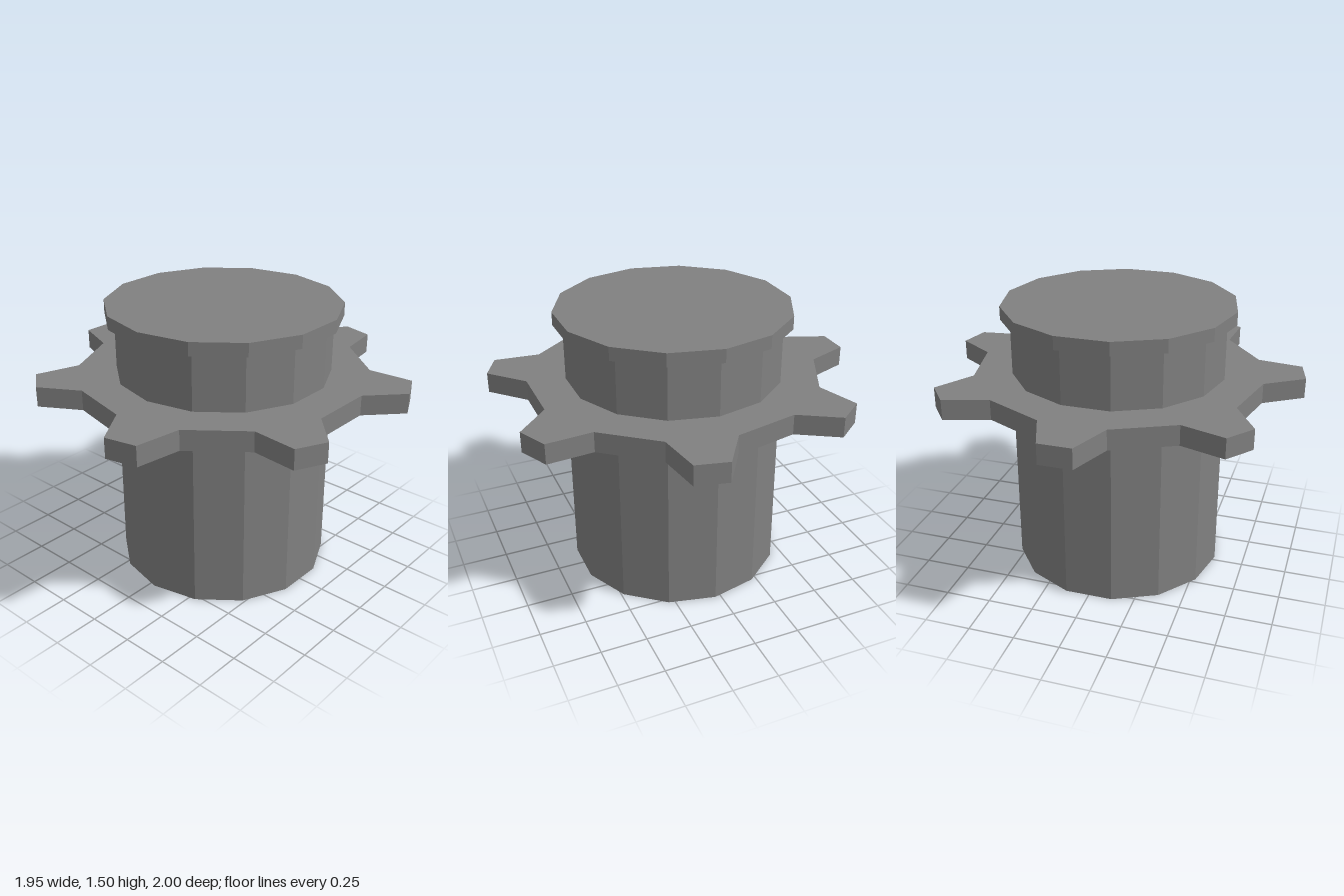
import * as THREE from 'three';

const SIDES = 14, TEETH = 7;

export function createModel() {
  const group = new THREE.Group();
  const material = new THREE.MeshStandardMaterial({ color: 0x808080, flatShading: true });

  // The odd tooth count shifts the axis slightly off the centre of the bounds
  function add(name, geometry, y) {
    const mesh = new THREE.Mesh(geometry, material);
    mesh.name = name;
    mesh.position.set(0.03, y, 0);
    group.add(mesh);
  }
  function drum(name, radius, y0, y1) {
    add(name, new THREE.CylinderGeometry(radius, radius, y1 - y0, SIDES), (y0 + y1) / 2);
  }

  // Faceted body and the wider rim on top
  drum('body', 0.585, 0, 1.433);
  drum('topRim', 0.635, 1.433, 1.505);

  // Toothed ring: each tooth runs root, tip, tip, root, with one tooth toward -x
  const tooth = [[0.772, -0.176], [1.004, -0.088], [1.004, 0.088], [0.772, 0.176]];
  const outline = [];
  for (let i = 0; i < TEETH; i++) {
    const angle = Math.PI + (i / TEETH) * Math.PI * 2;
    for (const [x, y] of tooth) {
      outline.push(new THREE.Vector2(x, y).rotateAround(new THREE.Vector2(), angle));
    }
  }
  const gear = new THREE.ExtrudeGeometry(new THREE.Shape(outline), { depth: 0.11, bevelEnabled: false });
  gear.rotateX(-Math.PI / 2);
  add('toothedRing', gear, 1.016);

  return group;
}
